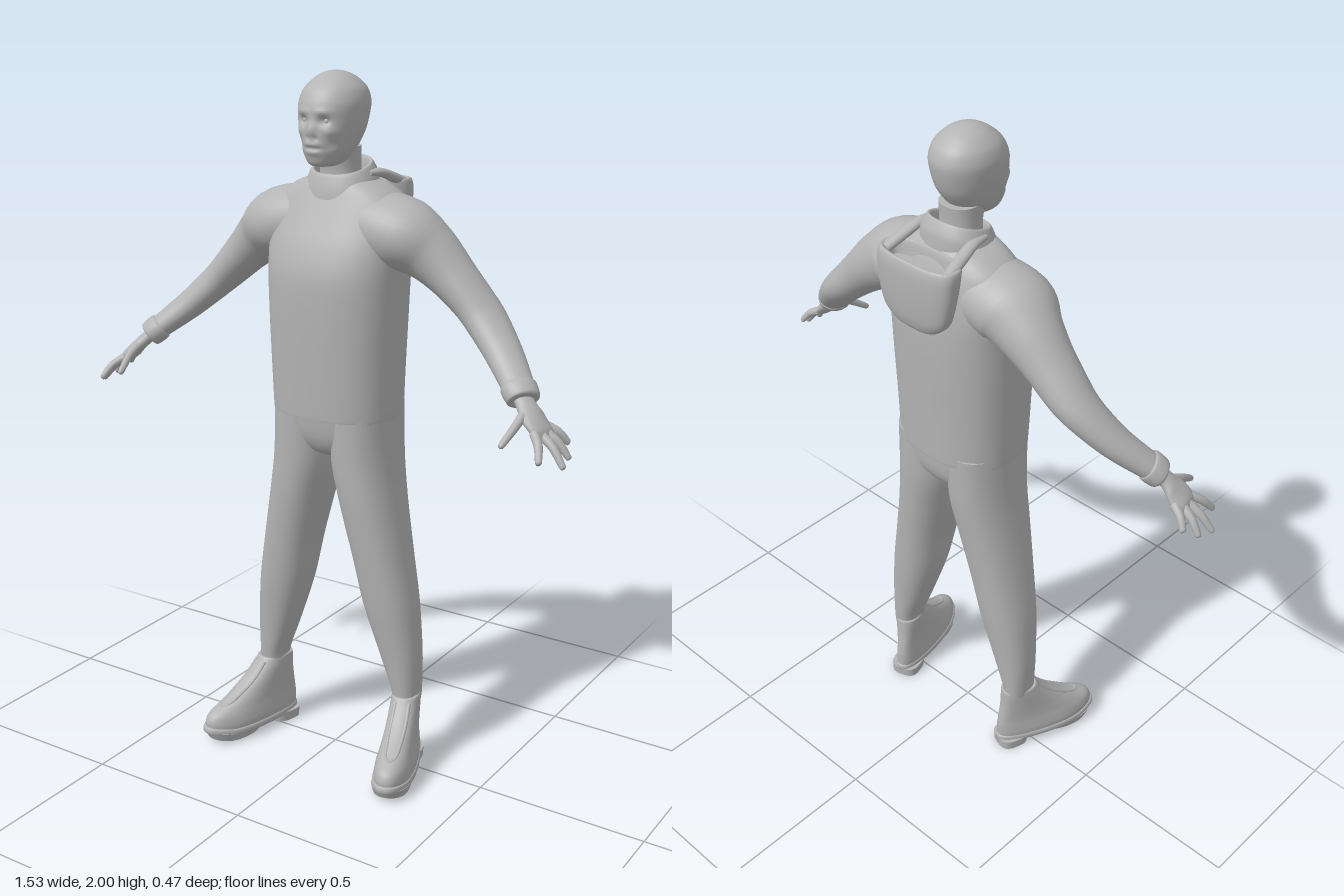
import * as THREE from 'three';

const grey = new THREE.MeshStandardMaterial({ color: 0xb4b4b4 });
grey.name = 'plain grey';
const V = (x, y, z) => new THREE.Vector3(x, y, z);

// Smoothly resample rows of numbers, k steps between neighbours.
function resample(rows, k) {
  const out = [];
  const at = i => rows[Math.min(rows.length - 1, Math.max(0, i))];
  for (let i = 0; i < rows.length - 1; i++) {
    for (let s = 0; s < k; s++) {
      const t = s / k, t2 = t * t, t3 = t2 * t;
      out.push(rows[i].map((b, n) => {
        const a = at(i - 1)[n], c = at(i + 1)[n], d = at(i + 2)[n];
        const m0 = (c - a) * 0.45, m1 = (d - b) * 0.45;
        return (2 * t3 - 3 * t2 + 1) * b + (t3 - 2 * t2 + t) * m0 + (3 * t2 - 2 * t3) * c + (t3 - t2) * m1;
      }));
    }
  }
  out.push(rows[rows.length - 1]);
  return out;
}

// Skin superellipse rings {c, u, v}; u x v points along the loft. Both ends are capped.
function skin(rings, segs, n) {
  const pos = [], idx = [];
  const power = x => Math.sign(x) * Math.abs(x) ** (2 / n);
  const addRing = r => {
    for (let j = 0; j < segs; j++) {
      const a = j / segs * Math.PI * 2;
      const p = r.c.clone().addScaledVector(r.u, power(Math.cos(a))).addScaledVector(r.v, power(Math.sin(a)));
      pos.push(p.x, p.y, p.z);
    }
  };
  rings.forEach(addRing);
  for (let i = 0; i < rings.length - 1; i++) {
    for (let j = 0; j < segs; j++) {
      const a = i * segs + j, b = i * segs + (j + 1) % segs;
      idx.push(a, b, a + segs, b, b + segs, a + segs);
    }
  }
  [rings[0], rings[rings.length - 1]].forEach((r, end) => {
    const base = pos.length / 3;
    addRing(r);
    pos.push(r.c.x, r.c.y, r.c.z);
    for (let j = 0; j < segs; j++) {
      const a = base + j, b = base + (j + 1) % segs, c = base + segs;
      if (end) idx.push(a, b, c); else idx.push(b, a, c);
    }
  });
  const g = new THREE.BufferGeometry();
  g.setAttribute('position', new THREE.Float32BufferAttribute(pos, 3));
  g.setIndex(idx);
  g.computeVertexNormals();
  return g;
}

// Horizontal rings: [y, half width, front z, back z, centre x]
function stack(rows, { k = 5, segs = 48, n = 2.3 } = {}) {
  return skin(resample(rows, k).map(([y, w, f, b, x = 0]) => ({
    c: V(x, y, (f + b) / 2), u: V(w, 0, 0), v: V(0, 0, -(f - b) / 2),
  })), segs, n);
}

// Rings across a path: [x, y, z, radius upward, radius sideways]
function limb(rows, { k = 5, segs = 28, n = 2 } = {}) {
  const r = resample(rows, k);
  return skin(r.map(([x, y, z, ru, rv], i) => {
    const p = r[Math.max(0, i - 1)], q = r[Math.min(r.length - 1, i + 1)];
    const t = V(q[0] - p[0], q[1] - p[1], q[2] - p[2]).normalize();
    const u = V(0, 1, 0).addScaledVector(t, -t.y).normalize();
    return { c: V(x, y, z), v: t.clone().cross(u).multiplyScalar(rv), u: u.multiplyScalar(ru) };
  }), segs, n);
}

// Move every vertex by a rule.
function warp(g, rule) {
  const a = g.attributes.position, p = V(0, 0, 0);
  for (let i = 0; i < a.count; i++) {
    rule(p.fromBufferAttribute(a, i));
    a.setXYZ(i, p.x, p.y, p.z);
  }
  g.computeVertexNormals();
  return g;
}

function mirrored(g) {
  const m = g.clone();
  m.scale(-1, 1, 1);
  const ix = m.index.array;
  for (let i = 0; i < ix.length; i += 3) [ix[i], ix[i + 1]] = [ix[i + 1], ix[i]];
  m.computeVertexNormals();
  return m;
}

export function createModel() {
  const model = new THREE.Group();
  model.name = 'standingFigure';
  const add = (name, g) => {
    const m = new THREE.Mesh(g, grey);
    m.name = name;
    model.add(m);
  };
  const pair = (name, g) => {
    add('left' + name, g);
    add('right' + name, mirrored(g));
  };

  // Head with the face pressed in and out: [x, y, depth, spread x, spread y]
  const face = [
    [0.032, 1.876, -0.014, 0.015, 0.011], [0, 1.852, 0.008, 0.01, 0.017],
    [0.03, 1.9, 0.004, 0.025, 0.008], [0.012, 1.832, -0.005, 0.006, 0.005],
    [0.05, 1.848, 0.005, 0.015, 0.01], [0.05, 1.815, -0.006, 0.014, 0.014],
    [0, 1.805, -0.006, 0.026, 0.004], [0, 1.815, 0.004, 0.024, 0.005], [0, 1.793, 0.004, 0.022, 0.006],
  ];
  add('head', warp(stack([
    [1.755, 0.03, 0.09, 0.02], [1.765, 0.046, 0.104, -0.02], [1.8, 0.066, 0.115, -0.06],
    [1.84, 0.079, 0.117, -0.088], [1.88, 0.087, 0.116, -0.101], [1.92, 0.09, 0.11, -0.106],
    [1.955, 0.079, 0.09, -0.093], [1.982, 0.053, 0.057, -0.062], [1.996, 0.026, 0.027, -0.03], [2, 0.003, 0.003, -0.004],
  ], { k: 8, segs: 96, n: 2.1 }), p => {
    if (p.z < 0.03) return;
    let dz = 0;
    for (const [x, y, d, sx, sy] of face) {
      dz += d * Math.exp(-(((Math.abs(p.x) - x) / sx) ** 2) - ((p.y - y) / sy) ** 2);
    }
    p.z += dz;
  }));
  pair('Eye', new THREE.SphereGeometry(0.012, 20, 14).translate(0.032, 1.876, 0.088));
  add('neck', stack([[1.66, 0.065, 0.025, -0.09], [1.74, 0.055, 0.026, -0.078], [1.8, 0.056, 0.04, -0.08]]));

  // Pullover
  add('pulloverBody', stack([
    [1.085, 0.172, 0.112, -0.146], [1.065, 0.183, 0.125, -0.158], [1.072, 0.186, 0.128, -0.161],
    [1.2, 0.19, 0.134, -0.166], [1.35, 0.195, 0.139, -0.173], [1.46, 0.199, 0.137, -0.176],
    [1.54, 0.205, 0.115, -0.172], [1.61, 0.206, 0.082, -0.16], [1.66, 0.187, 0.058, -0.145],
    [1.695, 0.14, 0.042, -0.128], [1.713, 0.095, 0.03, -0.11], [1.72, 0.06, 0.01, -0.09],
  ], { segs: 64, n: 2.5 }));
  pair('Sleeve', limb([
    [0.1, 1.59, -0.04, 0.1, 0.11], [0.2, 1.572, -0.038, 0.099, 0.115], [0.27, 1.53, -0.051, 0.081, 0.09],
    [0.34, 1.47, -0.055, 0.064, 0.074], [0.43, 1.385, -0.05, 0.051, 0.066],
    [0.52, 1.298, -0.008, 0.042, 0.054], [0.605, 1.22, 0.056, 0.033, 0.043],
  ], { segs: 40 }));
  pair('Cuff', limb([
    [0.59, 1.234, 0.045, 0.034, 0.043], [0.595, 1.229, 0.049, 0.04, 0.05],
    [0.617, 1.208, 0.064, 0.038, 0.047], [0.621, 1.204, 0.067, 0.03, 0.04],
  ], { k: 3 }));

  // Tilted collar band, open at the top
  add('collar', warp(stack([
    [1.67, 0.105, 0.06, -0.125], [1.71, 0.1, 0.053, -0.12], [1.742, 0.087, 0.042, -0.106],
    [1.748, 0.081, 0.036, -0.1], [1.742, 0.075, 0.03, -0.094], [1.71, 0.07, 0.026, -0.09],
  ]), p => { p.y -= (p.z + 0.03) * 0.3; }));

  // Hood hanging down the back as a hollow pouch
  add('hood', stack([
    [1.497, 0.03, -0.18, -0.202], [1.51, 0.075, -0.165, -0.214], [1.545, 0.11, -0.15, -0.224],
    [1.61, 0.126, -0.14, -0.23], [1.67, 0.132, -0.13, -0.231], [1.697, 0.13, -0.125, -0.226],
    [1.702, 0.122, -0.13, -0.218], [1.69, 0.112, -0.135, -0.208], [1.66, 0.105, -0.14, -0.2],
  ], { n: 2.7 }));
  pair('HoodEdge', limb([
    [0.085, 1.728, -0.03, 0.01, 0.012], [0.092, 1.727, -0.08, 0.012, 0.016],
    [0.1, 1.71, -0.13, 0.014, 0.018], [0.11, 1.685, -0.19, 0.014, 0.016],
  ]));

  // Trousers
  add('trouserSeat', stack([
    [0.925, 0.02, 0.02, -0.06], [0.95, 0.1, 0.07, -0.115], [1, 0.17, 0.097, -0.142], [1.09, 0.18, 0.11, -0.15],
  ], { n: 2.4 }));
  pair('TrouserLeg', stack([
    [0.21, 0.037, 0.028, -0.074, 0.237], [0.25, 0.041, 0.031, -0.077, 0.234], [0.35, 0.06, 0.042, -0.085, 0.215],
    [0.5, 0.078, 0.064, -0.1, 0.183], [0.65, 0.081, 0.08, -0.113, 0.153], [0.8, 0.086, 0.094, -0.128, 0.121],
    [0.93, 0.091, 0.101, -0.142, 0.098], [1.09, 0.085, 0.108, -0.149, 0.095],
  ]));

  // Hands: palm, four fanned fingers and a thumb
  pair('Palm', limb([
    [0.595, 1.228, 0.05, 0.02, 0.028], [0.63, 1.193, 0.072, 0.019, 0.029], [0.655, 1.167, 0.083, 0.019, 0.041],
    [0.685, 1.137, 0.087, 0.016, 0.044], [0.698, 1.124, 0.089, 0.008, 0.036],
  ]));
  const fingers = {
    LittleFinger: [[0.68, 1.143, 0.053], [0.735, 1.098, 0.027]],
    RingFinger: [[0.688, 1.135, 0.076], [0.757, 1.07, 0.068]],
    MiddleFinger: [[0.688, 1.132, 0.098], [0.765, 1.06, 0.12]],
    IndexFinger: [[0.678, 1.138, 0.12], [0.722, 1.08, 0.178]],
    Thumb: [[0.636, 1.18, 0.095], [0.625, 1.115, 0.205]],
  };
  for (const [name, [a, b]] of Object.entries(fingers)) {
    const at = (t, r, lift = 0) => [
      a[0] + (b[0] - a[0]) * t + lift, a[1] + (b[1] - a[1]) * t + lift, a[2] + (b[2] - a[2]) * t, r, r];
    pair(name, limb([at(0, 0.013), at(0.45, 0.0115, 0.005), at(0.9, 0.009), at(0.98, 0.006), at(1, 0.001)], { k: 3, segs: 14 }));
  }

  // Shoes, built pointing forward and then turned outward
  const place = g => g.rotateY(0.3).translate(0.237, 0, -0.02);
  const taper = p => {
    p.x *= 0.84 + 0.18 * THREE.MathUtils.smoothstep(p.z, -0.05, 0.17);
    p.y += 0.012 * THREE.MathUtils.smoothstep(p.z, 0.18, 0.28);
  };
  pair('ShoeUpper', place(warp(stack([
    [0.03, 0.055, 0.258, -0.073], [0.055, 0.057, 0.26, -0.074], [0.08, 0.054, 0.248, -0.074],
    [0.105, 0.05, 0.212, -0.071], [0.135, 0.048, 0.158, -0.067], [0.17, 0.048, 0.108, -0.062],
    [0.205, 0.048, 0.07, -0.06], [0.225, 0.046, 0.054, -0.058], [0.226, 0.04, 0.046, -0.05],
  ]), taper)));
  pair('ShoeSole', place(warp(stack([
    [0.022, 0.055, 0.262, -0.072], [0.026, 0.06, 0.268, -0.077], [0.04, 0.06, 0.268, -0.077], [0.044, 0.055, 0.262, -0.072],
  ], { k: 2 }), taper)));
  pair('ShoeHeel', place(warp(stack([[0, 0.052, 0.018, -0.074], [0.03, 0.054, 0.024, -0.076]], { k: 2, n: 3 }), taper)));
  pair('ShoeForesole', place(warp(stack([[0.005, 0.05, 0.25, 0.075], [0.03, 0.056, 0.264, 0.05]], { k: 2 }), taper)));
  // Raised loop around the lacing on the instep
  const loop = new THREE.CatmullRomCurve3([
    V(-0.02, 0.214, 0.055), V(-0.021, 0.172, 0.095), V(-0.019, 0.134, 0.15), V(-0.013, 0.11, 0.195),
    V(0, 0.106, 0.21), V(0.013, 0.11, 0.195), V(0.019, 0.134, 0.15), V(0.021, 0.172, 0.095), V(0.02, 0.214, 0.055),
  ]);
  pair('ShoeLacing', place(new THREE.TubeGeometry(loop, 48, 0.0055, 8)));

  return model;
}
